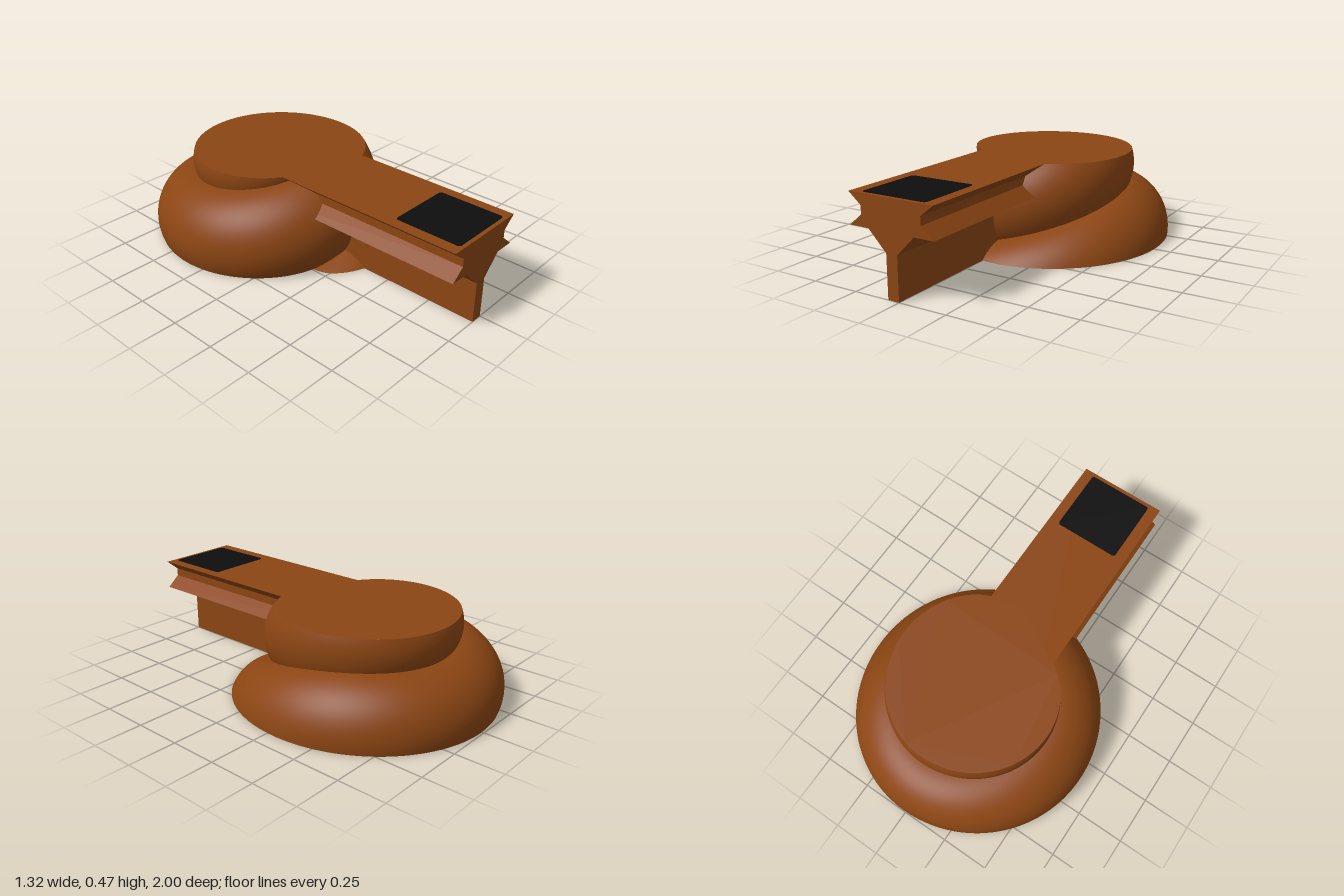
import * as THREE from 'three';

const HEIGHT = 0.465, CENTER_Z = -0.33, T_START = -2, T_END = 7;

// One key per quarter turn: tube centre height, outer radius, tube radius
const keys = new THREE.CatmullRomCurve3([
  [-0.45, 0.82, 0.27], [-0.2, 0.78, 0.27], [0, 0.66, 0.279], [0.07, 0.67, 0.235], [0.1, 0.66, 0.27],
  [0.22, 0.59, 0.275], [0.37, 0.465, 0.28], [0.39, 0.455, 0.2], [0.42, 0.44, 0.2], [0.52, 0.35, 0.2],
].map(k => new THREE.Vector3(...k)), false, 'catmullrom', 0.5);

function section(t) {
  const k = keys.getPoint((t - T_START) / (T_END - T_START));
  return { y: k.x, outer: k.y, a: k.z };
}

// Outer half of the rising coil, cut flat at the bottom and the top
function coilGeometry() {
  const first = -1.45, rows = 300, cols = 28, pos = [], index = [];
  for (let i = 0; i <= rows; i++) {
    const t = first + (T_END - first) * i / rows, s = section(t), ang = t * Math.PI / 2;
    const cut = y => Math.asin(THREE.MathUtils.clamp((y - s.y) / s.a, -1, 1));
    const lo = cut(0), hi = cut(HEIGHT);
    for (let j = 0; j <= cols; j++) {
      const p = lo + (hi - lo) * j / cols;
      const r = s.outer - s.a + s.a * Math.cos(p);
      pos.push(r * Math.cos(ang), Math.max(0, s.y + s.a * Math.sin(p)), -r * Math.sin(ang));
      if (i < rows && j < cols) {
        const q = i * (cols + 1) + j, n = q + cols + 1;
        index.push(q, n, q + 1, n, n + 1, q + 1);
      }
    }
  }
  const g = new THREE.BufferGeometry();
  g.setAttribute('position', new THREE.Float32BufferAttribute(pos, 3));
  g.setIndex(index);
  g.computeVertexNormals();
  return g;
}

// Widest coil radius at a height, for the flat caps
function radiusAt(turn, y) {
  let best = 0.2;
  for (let t = turn - 4; t <= T_END; t += 4) {
    if (t < T_START) continue;
    const s = section(t), d = y - s.y;
    if (Math.abs(d) < s.a) best = Math.max(best, s.outer - s.a + Math.sqrt(s.a * s.a - d * d));
  }
  return best;
}

function capGeometry(y, up) {
  const pts = [];
  for (let i = 0; i < 160; i++) {
    const turn = i / 40, r = radiusAt(turn, y), ang = turn * Math.PI / 2;
    pts.push(new THREE.Vector2(r * Math.cos(ang), up * r * Math.sin(ang)));
  }
  return new THREE.ShapeGeometry(new THREE.Shape(pts)).rotateX(-up * Math.PI / 2).translate(0, y, 0);
}

export function createModel() {
  const model = new THREE.Group();
  const brown = new THREE.MeshStandardMaterial({ color: 0x8b4513 });
  brown.name = 'brown';
  const black = new THREE.MeshStandardMaterial({ color: 0x0e0e0e });
  black.name = 'black';
  const add = (name, geometry, material, parent = model) => {
    const mesh = new THREE.Mesh(geometry, material);
    mesh.name = name;
    parent.add(mesh);
    return mesh;
  };

  // Coiled body
  const body = new THREE.Group();
  body.name = 'coiledBody';
  body.position.z = CENTER_Z;
  model.add(body);
  add('coil', coilGeometry(), brown, body);
  add('topFace', capGeometry(HEIGHT, 1), brown, body);
  add('bottomFace', capGeometry(0, -1), brown, body);

  // Mounting rail, a mirrored profile run forward from the body
  const half = [[0.03, 0], [0.03, 0.215], [0.125, 0.312], [0.23, 0.312], [0.163, 0.368], [0.163, 0.41], [0.23, HEIGHT]];
  const outline = [...half, ...half.map(([x, y]) => [-x, y]).reverse()].map(p => new THREE.Vector2(...p));
  const rail = add('rail', new THREE.ExtrudeGeometry(new THREE.Shape(outline), { depth: 1.2, bevelEnabled: false }), brown);
  rail.position.set(-0.03, 0, -0.2);

  // Dark plate with slightly rounded corners on the rail end
  const w = 0.173, c = 0.015, plate = new THREE.Shape();
  plate.absarc(w - c, w - c, c, 0, Math.PI / 2);
  plate.absarc(c - w, w - c, c, Math.PI / 2, Math.PI);
  plate.absarc(c - w, c - w, c, Math.PI, Math.PI * 1.5);
  plate.absarc(w - c, c - w, c, Math.PI * 1.5, Math.PI * 2);
  const badge = add('badgePlate', new THREE.ExtrudeGeometry(plate, { depth: 0.003, bevelEnabled: false }), black);
  badge.rotation.x = -Math.PI / 2;
  badge.position.set(-0.028, HEIGHT - 0.001, 0.807);

  return model;
}
